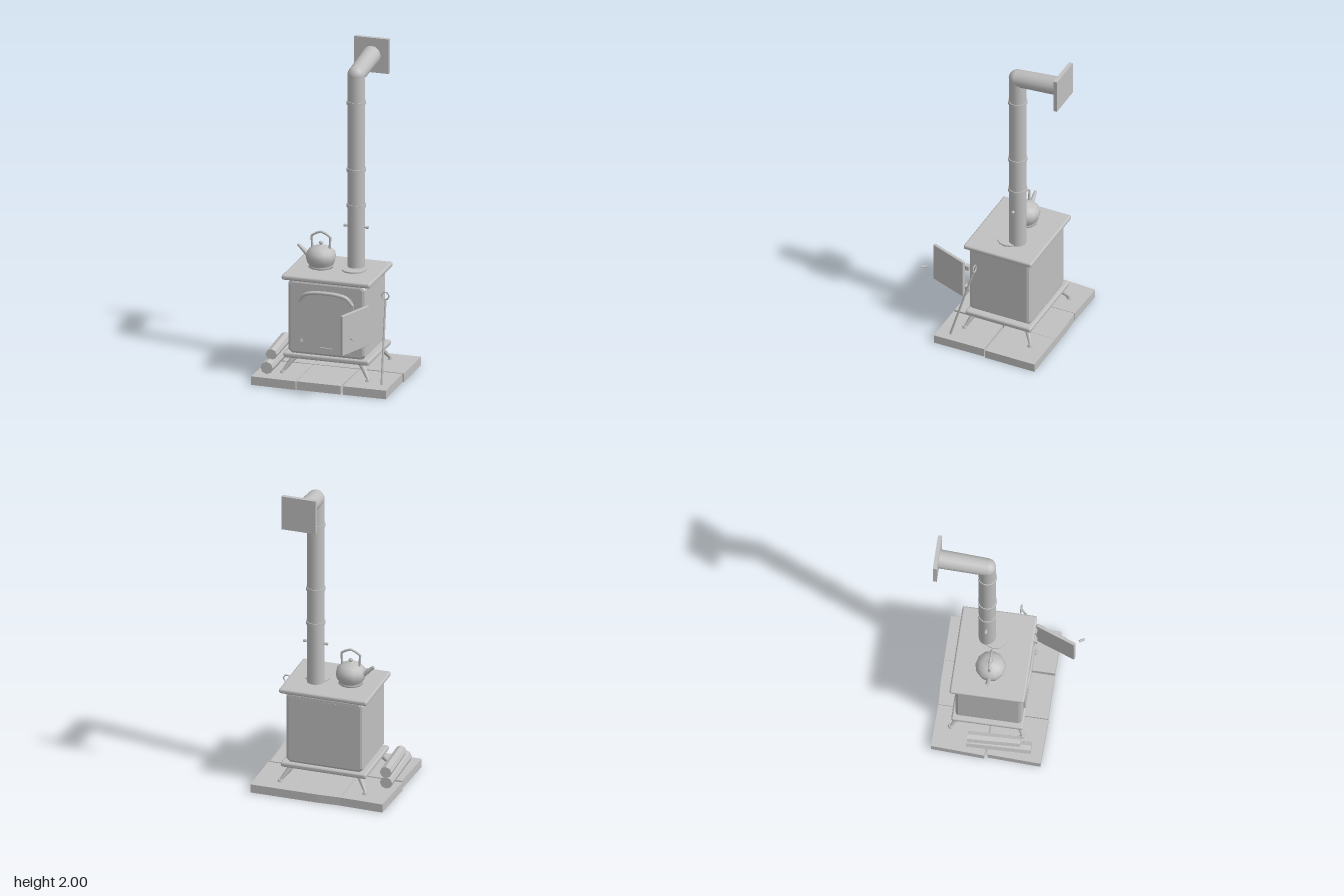
import * as THREE from 'three';
import { RoundedBoxGeometry } from 'three/addons/geometries/RoundedBoxGeometry.js';

const V = (x, y, z) => new THREE.Vector3(x, y, z);

export function createModel() {
  const root = new THREE.Group();
  const iron = new THREE.MeshStandardMaterial({ color: 0xc0c0c0 });
  iron.name = 'grey';

  const add = (name, geo, x = 0, y = 0, z = 0) => {
    const m = new THREE.Mesh(geo, iron);
    m.name = name;
    m.position.set(x, y, z);
    root.add(m);
    return m;
  };
  const box = (name, w, h, d, x, y, z) => add(name, new THREE.BoxGeometry(w, h, d), x, y, z);
  // Cylinder between two points
  const rod = (name, a, b, ra, rb = ra, sides = 8, flat = false) => {
    const dir = b.clone().sub(a);
    let geo = new THREE.CylinderGeometry(rb, ra, dir.length(), sides);
    if (flat) { geo = geo.toNonIndexed(); geo.computeVertexNormals(); }
    const m = add(name, geo);
    m.position.copy(a).add(b).multiplyScalar(0.5);
    m.quaternion.setFromUnitVectors(V(0, 1, 0), dir.normalize());
    return m;
  };
  const polygon = (pts) => new THREE.Shape(pts.map(([x, y]) => new THREE.Vector2(x, y)));
  const extrude = (shape, depth, bevel = 0) => new THREE.ExtrudeGeometry(shape, {
    depth, bevelEnabled: bevel > 0, bevelThickness: bevel, bevelSize: bevel,
    bevelOffset: -bevel, bevelSegments: 2, curveSegments: 10,
  });

  // Hearth slabs, corners given as [x, z]
  const slabs = [
    [[-0.405, -0.39], [-0.143, -0.384], [-0.141, -0.062], [-0.42, -0.07]],
    [[-0.14, -0.383], [0, -0.39], [0.14, -0.39], [0.14, -0.065], [-0.138, -0.063]],
    [[0.141, -0.39], [0.42, -0.39], [0.42, -0.065], [0.141, -0.068]],
    [[-0.41, -0.053], [-0.141, -0.056], [-0.144, 0.273], [-0.423, 0.266]],
    [[-0.137, -0.056], [0.143, -0.056], [0.136, 0.27], [-0.139, 0.27]],
    [[0.15, -0.054], [0.412, -0.057], [0.417, 0.27], [0.15, 0.27]],
  ];
  for (const pts of slabs) {
    const geo = extrude(polygon(pts.map(([x, z]) => [x, -z])), 0.053);
    geo.rotateX(-Math.PI / 2);
    add('hearthSlab', geo);
  }

  // Splayed legs with round feet
  for (const sx of [-1, 1]) for (const [zTop, zFoot] of [[0.095, 0.138], [-0.235, -0.29]]) {
    rod('leg', V(sx * 0.265, 0.062, zFoot), V(sx * 0.205, 0.15, zTop), 0.009, 0.019);
    add('foot', new THREE.CylinderGeometry(0.014, 0.02, 0.014, 6), sx * 0.265, 0.06, zFoot);
  }

  // Base and top plates
  add('basePlate', new RoundedBoxGeometry(0.534, 0.032, 0.428, 2, 0.012), 0.001, 0.162, -0.076);
  add('topPlate', new RoundedBoxGeometry(0.55, 0.03, 0.446, 2, 0.012), 0.001, 0.646, -0.076);

  // Arched outline: half width, bottom, shoulder and crown heights
  const arch = (Path, w, y0, y1, y2) => {
    const p = new Path();
    p.moveTo(-w, y0);
    p.lineTo(w, y0);
    p.lineTo(w, y1);
    p.bezierCurveTo(w * 0.92, y2, w * 0.5, y2, 0, y2);
    p.bezierCurveTo(-w * 0.5, y2, -w * 0.92, y2, -w, y1);
    p.closePath();
    return p;
  };

  // Stove body with an open firebox
  const c = 0.024, bx = 0.241, b0 = 0.172, b1 = 0.634;
  const bodyShape = polygon([
    [-bx + c, b0], [bx - c, b0], [bx, b0 + c], [bx, b1 - c],
    [bx - c, b1], [-bx + c, b1], [-bx, b1 - c], [-bx, b0 + c],
  ]);
  bodyShape.holes.push(arch(THREE.Path, 0.145, 0.27, 0.51, 0.555));
  add('stoveBody', extrude(bodyShape, 0.361, 0.018), 0, 0, -0.252);
  box('backPanel', 0.4, 0.4, 0.06, 0, 0.403, -0.241);

  // Raised front surround with stepped lower corners
  const front = new THREE.Shape();
  front.moveTo(-0.143, 0.2);
  for (const [x, y] of [[0.143, 0.2], [0.143, 0.275], [0.17, 0.275], [0.17, 0.515]]) front.lineTo(x, y);
  front.bezierCurveTo(0.155, 0.575, 0.08, 0.58, 0, 0.58);
  front.bezierCurveTo(-0.08, 0.58, -0.155, 0.575, -0.17, 0.515);
  for (const [x, y] of [[-0.17, 0.275], [-0.143, 0.275]]) front.lineTo(x, y);
  front.closePath();
  front.holes.push(arch(THREE.Path, 0.145, 0.27, 0.51, 0.555));
  add('frontSurround', extrude(front, 0.012), 0, 0, 0.124);
  box('ashVent', 0.07, 0.014, 0.012, 0, 0.226, 0.138);

  // Arched moulding over the opening
  const hood = new THREE.CatmullRomCurve3([
    V(-0.165, 0.51, 0.136), V(-0.13, 0.553, 0.142), V(-0.07, 0.57, 0.147), V(0, 0.574, 0.149),
    V(0.07, 0.57, 0.147), V(0.13, 0.553, 0.142), V(0.165, 0.51, 0.136),
  ]);
  add('archMoulding', new THREE.TubeGeometry(hood, 20, 0.01, 6));

  // Grate and flames
  box('grateBar', 0.28, 0.03, 0.02, 0, 0.312, 0.09);
  box('grateBed', 0.26, 0.02, 0.2, 0, 0.3, -0.01);
  for (const x of [-0.13, 0.13]) box('gratePost', 0.014, 0.07, 0.024, x, 0.305, 0.09);
  const flames = polygon([
    [-0.095, 0.31], [0.105, 0.31], [0.092, 0.36], [0.07, 0.42], [0.05, 0.36], [0.036, 0.335],
    [0.024, 0.37], [0, 0.45], [-0.022, 0.38], [-0.036, 0.35], [-0.05, 0.375], [-0.066, 0.415], [-0.082, 0.36],
  ]);
  add('flames', extrude(flames, 0.012), 0, 0, 0.04);

  // Open door, hinged at the left side, with its handle
  const dx = -0.088, dz = 0.238;
  const door = add('door', new RoundedBoxGeometry(0.254, 0.25, 0.02, 1, 0.005), 0.222, 0.405, 0.265);
  door.rotation.y = Math.atan2(-dz, dx);
  rod('doorHandle', V(0.244, 0.403, 0.4), V(0.263, 0.403, 0.43), 0.007);
  for (const y of [0.33, 0.48]) box('hinge', 0.03, 0.03, 0.03, 0.24, y, 0.135);

  // Flue: pipe, elbow, wall pipe and wall plate
  const px = 0.103, pz = -0.127;
  rod('flueCollar', V(0.106, 0.655, -0.077), V(0.106, 0.67, -0.077), 0.074, 0.074, 12);
  rod('fluePipe', V(px, 0.655, pz), V(px, 1.865, pz), 0.052, 0.052, 16);
  add('flueElbow', new THREE.SphereGeometry(0.053, 16, 10), px, 1.862, pz);
  rod('wallPipe', V(px, 1.862, pz), V(px, 1.893, -0.42), 0.053, 0.057, 16);
  box('wallPlate', 0.214, 0.215, 0.024, 0.103, 1.8925, -0.425);
  for (const y of [1.05, 1.273, 1.69]) {
    add('flueRing', new THREE.CylinderGeometry(0.057, 0.057, 0.022, 16), px, y, pz);
  }
  rod('damperRod', V(0.035, 0.917, pz), V(0.171, 0.917, pz), 0.006);
  for (const s of [-1, 1]) rod('damperKnob', V(px + s * 0.06, 0.917, pz), V(px + s * 0.076, 0.917, pz), 0.009);

  // Kettle
  const kx = -0.1, kz = -0.078;
  const profile = [[0, 0.66], [0.074, 0.66], [0.074, 0.672], [0.068, 0.674], [0.084, 0.695], [0.091, 0.725],
    [0.086, 0.752], [0.066, 0.775], [0.045, 0.785], [0.02, 0.794], [0.006, 0.797], [0.006, 0.802],
    [0.014, 0.808], [0.01, 0.818], [0, 0.82]].map(([r, y]) => new THREE.Vector2(r, y));
  add('kettleBody', new THREE.LatheGeometry(profile, 12), kx, 0, kz);
  rod('kettleSpout', V(-0.175, 0.725, kz), V(-0.243, 0.787, kz), 0.017, 0.009);
  const grip = [[-0.054, 0.775], [-0.058, 0.85], [-0.03, 0.868], [0, 0.879], [0.03, 0.868], [0.058, 0.85], [0.054, 0.775]];
  for (let i = 0; i < grip.length - 1; i++) {
    const [a, b] = [grip[i], grip[i + 1]];
    rod('kettleHandle', V(kx + a[0], a[1], kz), V(kx + b[0], b[1], kz), 0.007, 0.007, 6);
  }

  // Leaning poker with a six-sided ring
  rod('pokerRod', V(0.364, 0.056, 0.188), V(0.342, 0.54, 0.046), 0.007, 0.006, 6);
  add('pokerRing', new THREE.TorusGeometry(0.024, 0.005, 5, 6), 0.339, 0.563, 0.041);

  // Stacked logs
  rod('lowerLog', V(-0.356, 0.092, -0.183), V(-0.347, 0.092, 0.2), 0.038, 0.038, 8, true);
  rod('upperLog', V(-0.353, 0.158, -0.18), V(-0.34, 0.155, 0.135), 0.036, 0.034, 8, true);

  return root;
}
